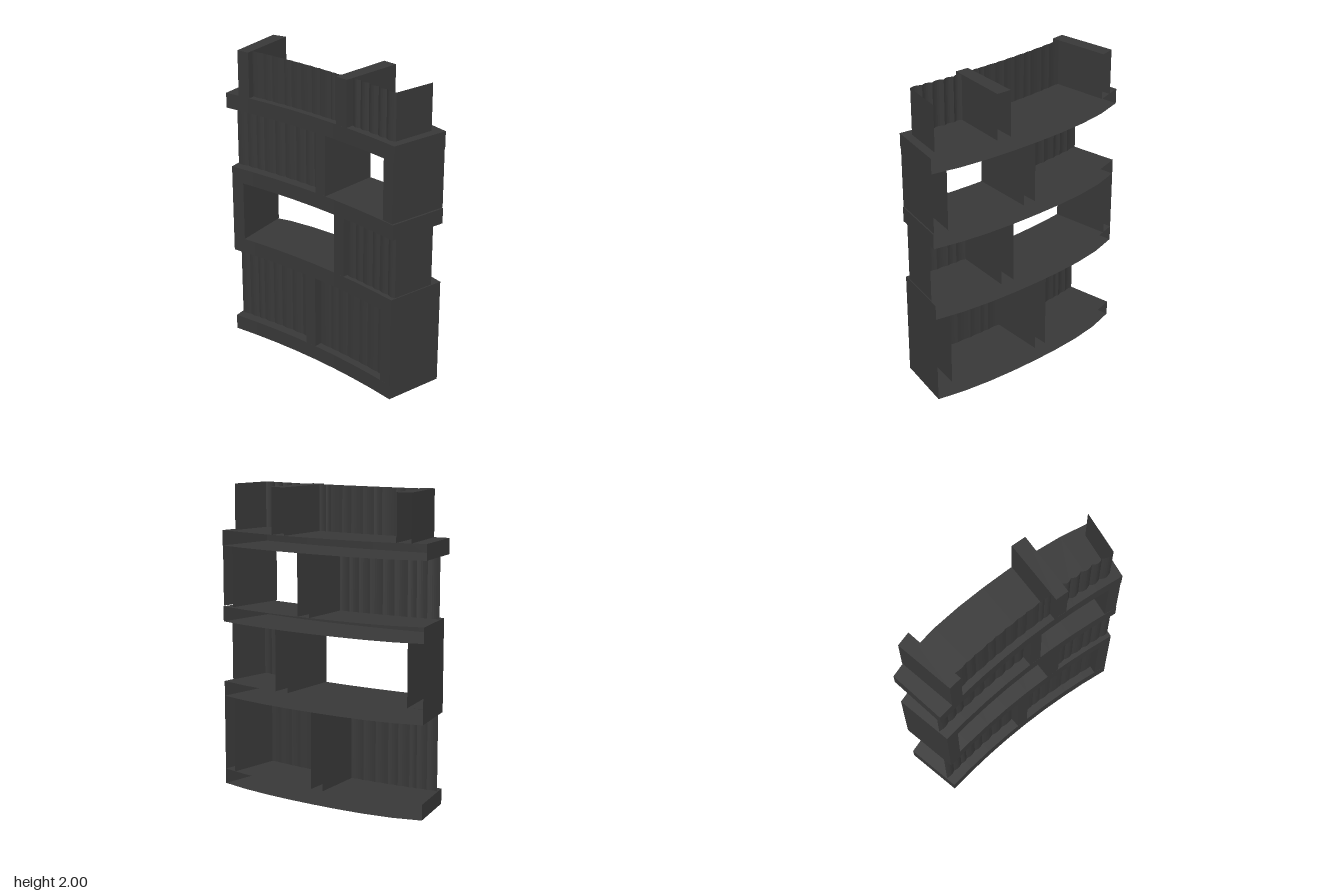
import * as THREE from 'three';

const material = new THREE.MeshStandardMaterial({
  color: 0x383838, side: THREE.DoubleSide, flatShading: true,
});

// Plan of the curved shelf: x runs along the front edge, d is the distance behind it.
const depthAt = (x) => 0.42 - (x < 0 ? 0.2 : 0.1) * x ** 4;
function plan(x, d) {
  const a = 0.263 * (x + 0.082);
  const z = 0.172 + 0.105 * (x + 0.14) ** 2;
  return [x + Math.sin(a) * d, z - Math.cos(a) * d];
}
const back = (x) => plan(x, depthAt(x));

// Evenly spaced positions along the front edge
function steps(x0, x1) {
  const n = Math.max(1, Math.round((x1 - x0) / 0.18));
  return Array.from({ length: n + 1 }, (_, i) => x0 + ((x1 - x0) * i) / n);
}

// Quad strip between two rows of points
function strip(out, low, high) {
  for (let i = 0; i < low.length - 1; i++) {
    out.push(...low[i], ...low[i + 1], ...high[i + 1], ...low[i], ...high[i + 1], ...high[i]);
  }
}
const raise = (points, y) => points.map(([x, z]) => [x, y, z]);

function addMesh(group, name, positions) {
  const geometry = new THREE.BufferGeometry();
  geometry.setAttribute('position', new THREE.Float32BufferAttribute(positions, 3));
  geometry.computeVertexNormals();
  const mesh = new THREE.Mesh(geometry, material);
  mesh.name = name;
  group.add(mesh);
}

// Hollow board, open at the back: two ends, a front, and optional top and bottom
function board(group, name, x0, x1, y0, y1, { top = false, bottom = false, rear0 = x0 } = {}) {
  const front = steps(x0, x1).map((x) => plan(x, 0));
  const rear = steps(rear0, x1).map(back);
  const outline = [back(rear0), ...front, back(x1)];
  const out = [];
  strip(out, raise(outline, y0), raise(outline, y1));
  if (top) strip(out, raise(front, y1), raise(rear, y1));
  if (bottom) strip(out, raise(rear, y0), raise(front, y0));
  addMesh(group, name, out);
}

// Row of rounded spines as a thin sheet, with an optional side cover on the right
function spines(group, name, x0, x1, y0, y1, widths, recess, bulge, coverDepth = 0) {
  const total = widths.reduce((sum, w) => sum + w, 0);
  const points = [];
  let x = x0;
  for (const w of widths) {
    const width = ((x1 - x0) * w) / total;
    for (let i = 0; i < 6; i++) {
      const t = i / 6;
      points.push(plan(x + width * t, recess - bulge * Math.sin(Math.PI * t)));
    }
    x += width;
  }
  points.push(plan(x1, recess));
  if (coverDepth) points.push(plan(x1, coverDepth));
  const out = [];
  strip(out, raise(points, y0), raise(points, y1));
  addMesh(group, name, out);
}

export function createModel() {
  const group = new THREE.Group();
  group.name = 'curvedBookcase';

  // Horizontal shelves; the highest one reaches further to its right end
  [0, 0.6, 1.1].forEach((y, i) =>
    board(group, `shelf${i + 1}`, -0.688, 0.672, y, y + 0.1, { top: true, bottom: true }));
  board(group, 'shelf4', -0.716, 0.672, 1.6, 1.7, { top: true, bottom: true, rear0: -0.698 });

  // End panels, on alternating sides
  board(group, 'lowerEndPanel', 0.585, 0.672, 0.1, 0.6);
  board(group, 'middleEndPanel', -0.688, -0.6, 0.7, 1.1);
  board(group, 'upperEndPanel', 0.585, 0.668, 1.205, 1.6);

  // Upright dividers
  board(group, 'lowerDivider', -0.08, 0, 0.1, 0.6);
  board(group, 'middleDivider', 0.165, 0.25, 0.7, 1.1);
  board(group, 'upperDivider', 0.01, 0.09, 1.2, 1.6);
  board(group, 'topLeftDivider', -0.615, -0.53, 1.7, 2, { top: true });
  board(group, 'topRightDivider', 0.183, 0.27, 1.7, 2, { top: true });

  // Rows of books
  spines(group, 'lowerLeftBooks', -0.682, -0.08, 0.1, 0.6, [7, 7, 5, 8, 7, 9, 9, 9], 0.07, 0.008);
  spines(group, 'lowerRightBooks', 0, 0.585, 0.1, 0.6, [9, 6, 8, 10, 7, 9, 8], 0.055, 0.005);
  spines(group, 'middleBooks', 0.25, 0.665, 0.7, 1.1, [7, 6, 8, 6, 7, 6], 0.035, 0.008, 0.33);
  spines(group, 'upperBooks', -0.682, 0.01, 1.2, 1.6, [8, 7, 6, 9, 8, 9, 8, 7, 7], 0.07, 0.008);
  spines(group, 'topLeftBooks', -0.53, 0.183, 1.7, 2, [9, 7, 10, 6, 8, 9, 7, 9, 4, 5], 0.045, 0.005);
  spines(group, 'topRightBooks', 0.27, 0.62, 1.7, 2, [6, 7, 8, 7, 8], 0.058, 0.014, 0.34);

  return group;
}
